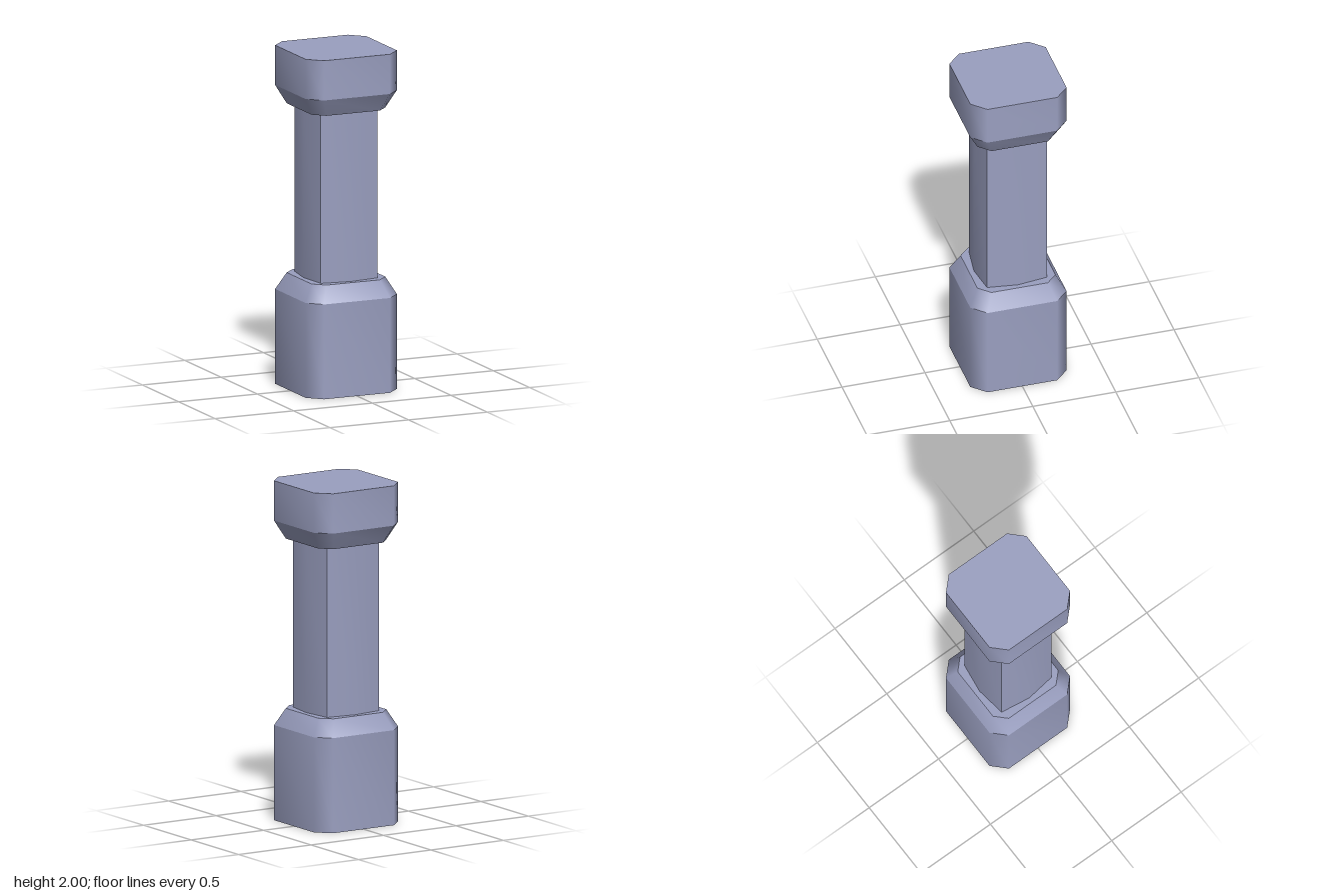
import * as THREE from 'three';

const stone = new THREE.MeshStandardMaterial({ color: 0x9a9fc0 });
stone.name = 'blueGreyStone';

// Square outline with cut corners, as [x, z] pairs running from +x towards +z
function cutSquare(half, flat) {
  return [
    [half, -flat], [half, flat], [flat, half], [-flat, half],
    [-half, flat], [-half, -flat], [-flat, -half], [flat, -half],
  ];
}

// Wall between two outlines, smooth around and sharp at its rims
function band(name, low, y0, high, y1, closed = true) {
  const n = low.length;
  const positions = [], index = [];
  low.forEach(([x, z], i) => positions.push(x, y0, z, high[i][0], y1, high[i][1]));
  for (let i = 0; i < (closed ? n : n - 1); i++) {
    const a = 2 * i, b = 2 * ((i + 1) % n);
    index.push(a, a + 1, b + 1, a, b + 1, b);
  }
  return makeMesh(name, positions, index);
}

// Flat lid facing up or down
function lid(name, ring, y, up) {
  const n = ring.length;
  const positions = [0, y, 0], index = [];
  ring.forEach(([x, z]) => positions.push(x, y, z));
  for (let i = 0; i < n; i++) {
    const a = 1 + i, b = 1 + ((i + 1) % n);
    index.push(0, up ? b : a, up ? a : b);
  }
  return makeMesh(name, positions, index);
}

function makeMesh(name, positions, index) {
  const geometry = new THREE.BufferGeometry();
  geometry.setAttribute('position', new THREE.Float32BufferAttribute(positions, 3));
  geometry.setIndex(index);
  geometry.computeVertexNormals();
  const mesh = new THREE.Mesh(geometry, stone);
  mesh.name = name;
  return mesh;
}

export function createModel() {
  const model = new THREE.Group();
  model.name = 'pillar';
  const wide = cutSquare(0.29, 0.21);
  const narrow = cutSquare(0.235, 0.17);

  // Base block with a sloped shoulder
  const base = new THREE.Group();
  base.name = 'base';
  base.add(
    lid('baseUnderside', wide, 0, false),
    band('baseWall', wide, 0, wide, 0.56),
    band('baseShoulder', wide, 0.56, narrow, 0.66),
    lid('baseTop', narrow, 0.66, true),
  );

  // Shaft: four slightly bowed sides meeting at sharp corners
  const shaft = new THREE.Group();
  shaft.name = 'shaft';
  const side = [[0.18, -0.18], [0.205, 0], [0.18, 0.18]];
  for (let i = 0; i < 4; i++) {
    const face = band('shaftSide', side, 0.66, side, 1.66, false);
    face.rotation.y = i * Math.PI / 2;
    shaft.add(face);
  }

  // Capital flaring out to the flat top
  const capital = new THREE.Group();
  capital.name = 'capital';
  capital.add(
    lid('capitalUnderside', narrow, 1.66, false),
    band('capitalFlare', narrow, 1.66, wide, 1.765),
    band('capitalWall', wide, 1.765, wide, 2),
    lid('capitalTop', wide, 2, true),
  );

  model.add(base, shaft, capital);
  return model;
}
